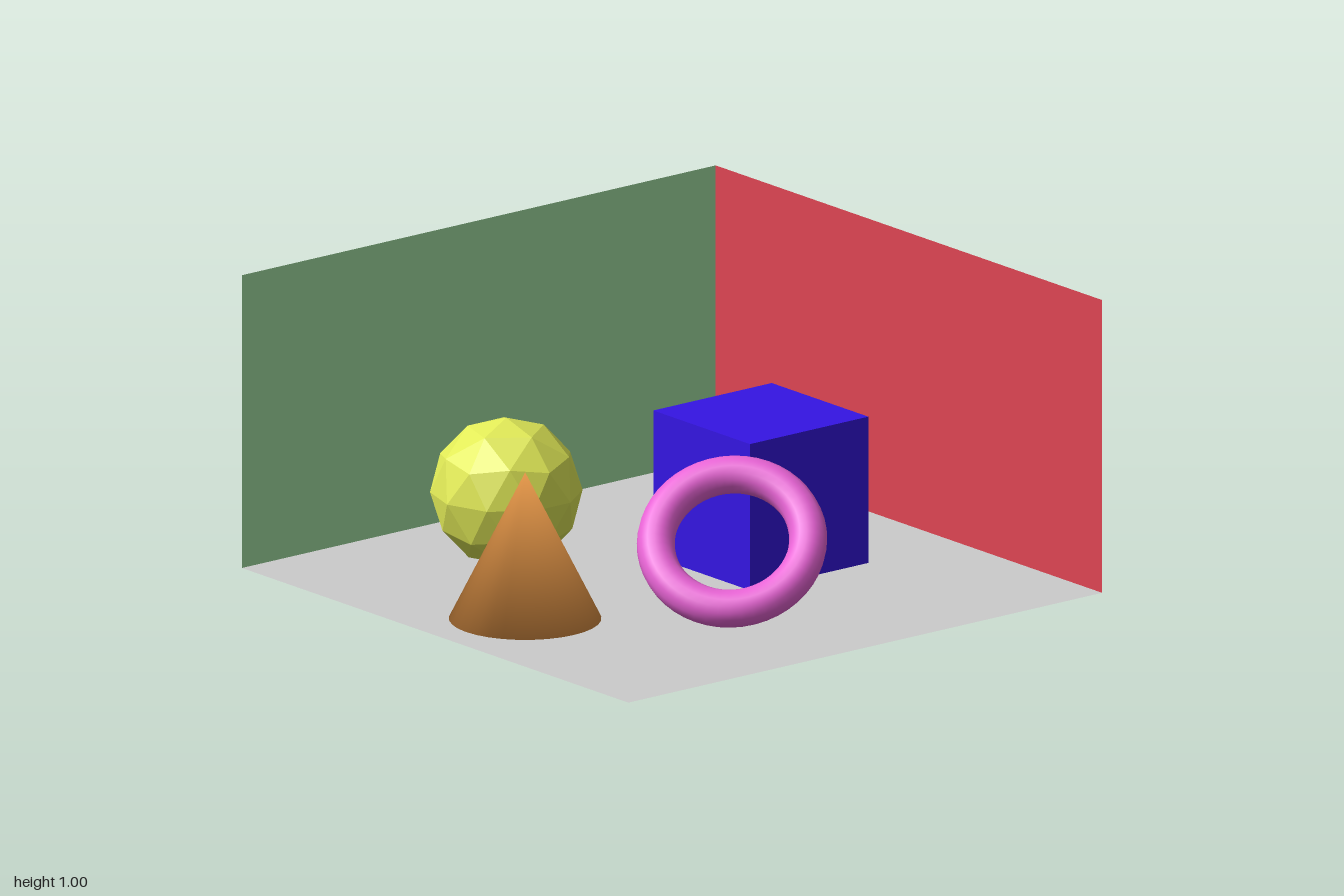
import * as THREE from 'three';

function material(color, options = {}) {
  return new THREE.MeshStandardMaterial({ color, ...options });
}

function part(name, geometry, mat, x, y, z) {
  const mesh = new THREE.Mesh(geometry, mat);
  mesh.name = name;
  mesh.position.set(x, y, z);
  return mesh;
}

// Cone whose normals blend from straight up at the tip to a rim averaged with the base
function softCone(radius, height, segments) {
  const geometry = new THREE.ConeGeometry(radius, height, segments);
  const { position, normal } = geometry.attributes;
  const slant = Math.hypot(radius, height);
  const n = new THREE.Vector3();
  for (let i = 0; i < position.count; i++) {
    const x = position.getX(i), z = position.getZ(i);
    const r = Math.hypot(x, z);
    if (position.getY(i) > 0) n.set(0, 1, 0);
    else if (r < 1e-4) n.set(0, -1, 0);
    else n.set(x / r * height / slant, radius / slant - 1, z / r * height / slant).normalize();
    normal.setXYZ(i, n.x, n.y, n.z);
  }
  return geometry;
}

export function createModel() {
  const group = new THREE.Group();
  const thin = { side: THREE.DoubleSide };

  // Open room: floor and two walls
  const floor = new THREE.PlaneGeometry(2, 2).rotateX(-Math.PI / 2);
  const backWall = new THREE.PlaneGeometry(2, 1);
  const sideWall = new THREE.PlaneGeometry(2, 1).rotateY(Math.PI / 2);
  group.add(part('floor', floor, material(0xcccccc, thin), 0, 0.001, 0));
  group.add(part('backWall', backWall, material(0xe04654, thin), 0, 0.5, -1));
  group.add(part('sideWall', sideWall, material(0xa5e4a5, thin), -1, 0.5, 0));

  // Cube
  group.add(part('cube', new THREE.BoxGeometry(0.5, 0.5, 0.5), material(0x3515e4), 0, 0.25, -0.375));

  // Faceted ball, turned so that a five-sided corner points up
  const ball = new THREE.IcosahedronGeometry(0.25, 1).rotateZ(-Math.atan(2 / (1 + Math.sqrt(5))));
  group.add(part('facetedBall', ball, material(0xe1ea57, { flatShading: true }), -0.49, 0.25, 0.3));

  // Cone
  group.add(part('cone', softCone(0.25, 0.498, 32), material(0xe89848), 0.037, 0.251, 0.65));

  // Tilted ring
  const ring = part('ring', new THREE.TorusGeometry(0.25, 0.0625, 16, 48), material(0xe964d6), 0.4, 0.239, 0.073);
  ring.quaternion.setFromUnitVectors(
    new THREE.Vector3(0, 0, 1), new THREE.Vector3(0.5, Math.SQRT1_2, 0.5).normalize());
  group.add(ring);

  return group;
}
